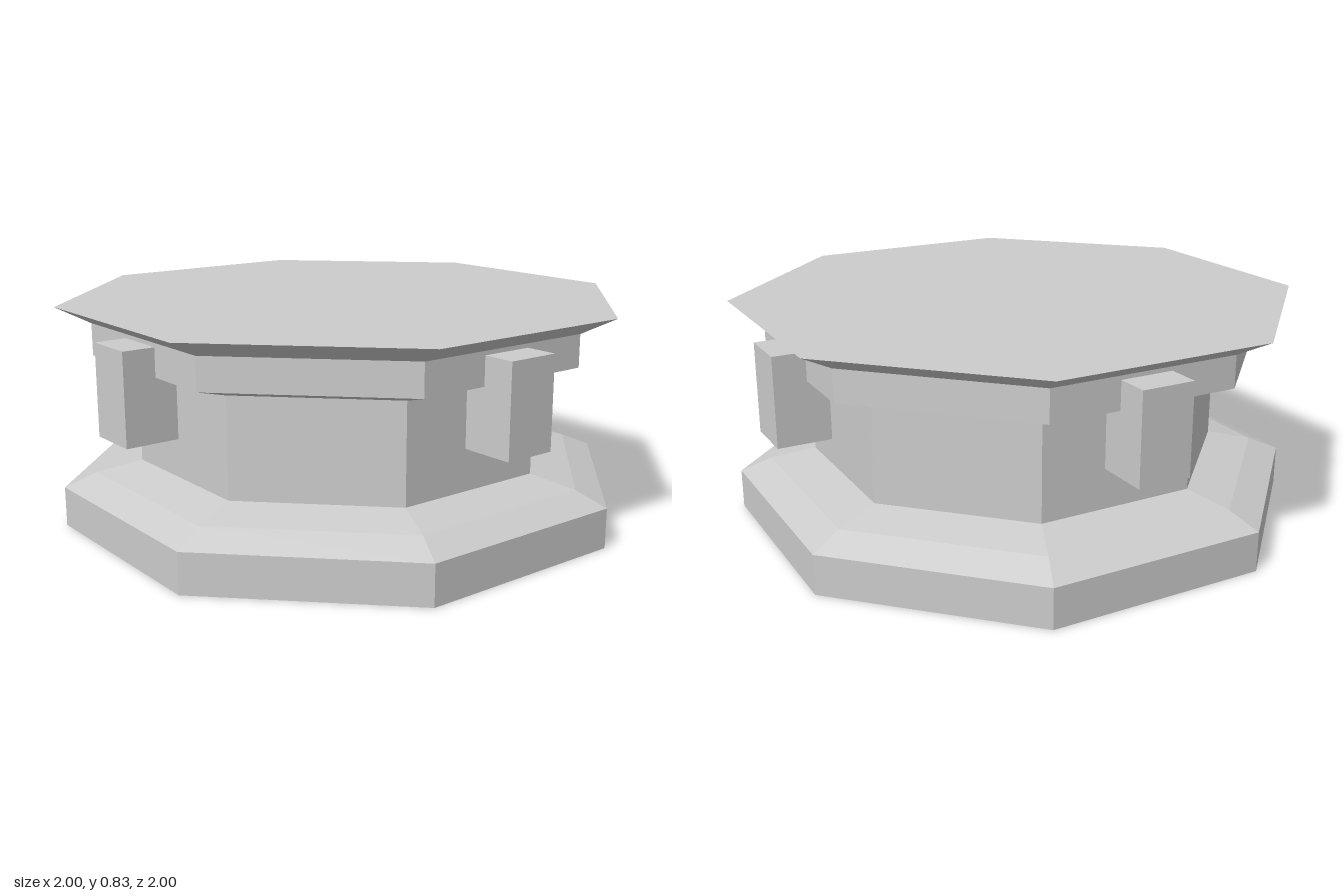
import * as THREE from 'three';

const material = new THREE.MeshStandardMaterial({ color: 0xcccccc, flatShading: true });
const CORNER = 1 / Math.cos(Math.PI / 8); // flat-to-corner ratio of an octagon

// Eight-sided solid from [flat radius, height] pairs, bottom to top, flats facing the axes
function octagon(name, profile) {
  const points = profile.map(([r, y]) => new THREE.Vector2(r * CORNER, y));
  const mesh = new THREE.Mesh(new THREE.LatheGeometry(points, 8, Math.PI / 8), material);
  mesh.name = name;
  return mesh;
}

export function createModel() {
  const model = new THREE.Group();
  model.name = 'octagonalPedestal';

  // Plinth with a two-step bevel
  model.add(octagon('base', [[0, 0], [1, 0], [1, 0.15], [0.89, 0.2], [0.73, 0.235]]));

  // Straight column
  model.add(octagon('column', [[0.73, 0.235], [0.73, 0.605]]));

  // Flared collar and flat table top
  model.add(octagon('top', [[0.73, 0.605], [0.88, 0.65], [0.88, 0.77], [1, 0.835], [0, 0.835]]));

  // Four blocks hanging from the collar, one per axis
  const blockGeometry = new THREE.BoxGeometry(0.2, 0.335, 0.2);
  for (let i = 0; i < 4; i++) {
    const angle = (i * Math.PI) / 2;
    const block = new THREE.Mesh(blockGeometry, material);
    block.name = `block${i + 1}`;
    block.position.set(Math.sin(angle) * 0.9, 0.5875, Math.cos(angle) * 0.9);
    block.rotation.y = angle;
    model.add(block);
  }

  return model;
}
